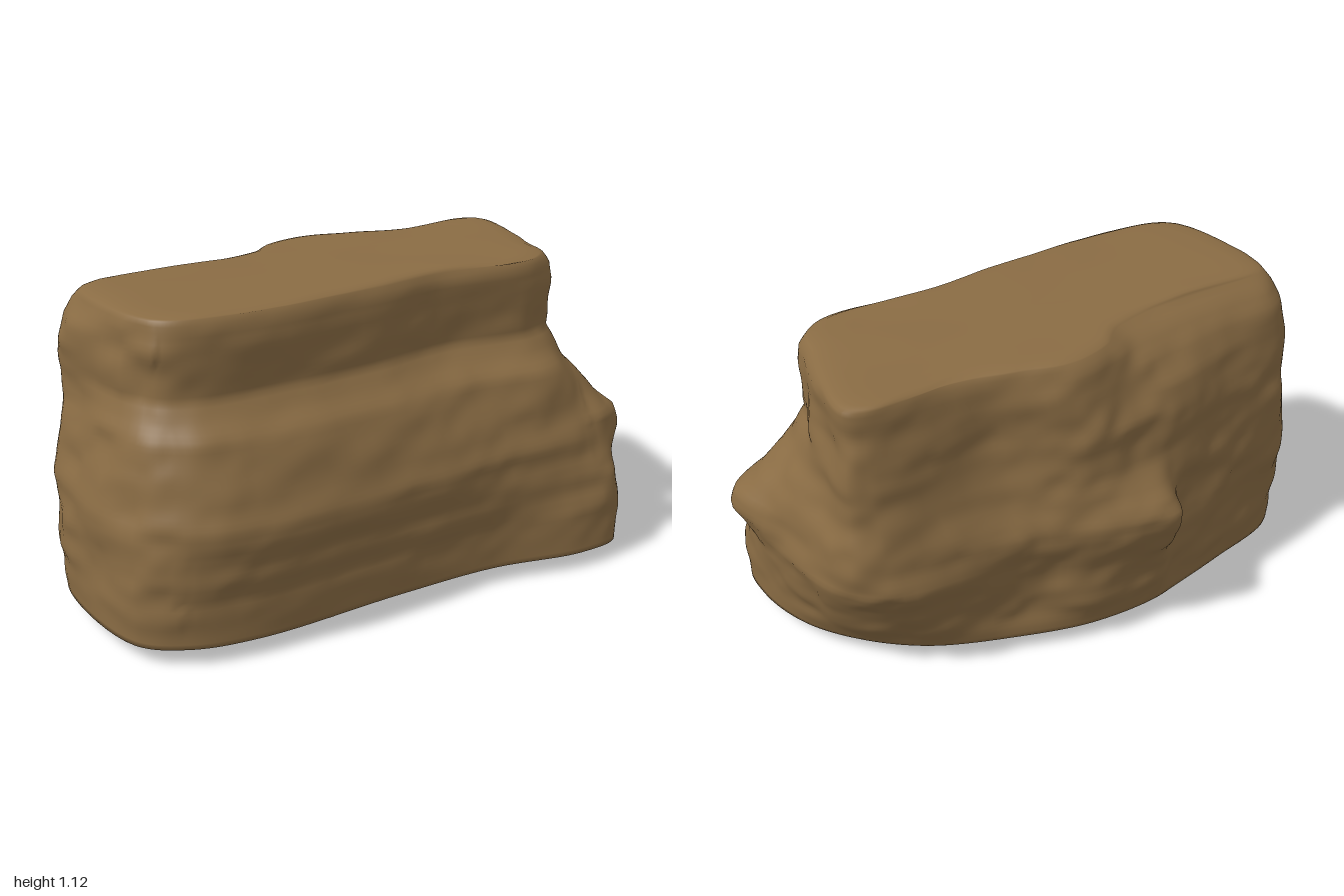
import * as THREE from 'three';

// Matching plan outlines (x, z), from the front left corner round to the left end
const BASE = [-.92,.36, -.78,.47, -.55,.51, 0,.47, .38,.46, .72,.51, .9,.47, .92,.3, .86,.08,
  .73,-.1, .54,-.25, .25,-.36, 0,-.42, -.25,-.42, -.38,-.39, -.6,-.33, -.88,-.24, -.96,-.14];
const BELLY = [-.92,.38, -.75,.52, -.54,.56, 0,.52, .38,.48, .7,.46, .88,.43, .99,.32, .92,0,
  .82,-.3, .7,-.37, .25,-.42, 0,-.51, -.26,-.565, -.32,-.44, -.6,-.36, -.88,-.28, -.97,-.18];
const TOP = [-.83,.28, -.76,.36, -.55,.385, -.05,.34, .25,.29, .6,.29, .71,.22, .74,.1, .78,-.05,
  .81,-.29, .75,-.33, .4,-.31, .1,-.385, -.08,-.34, -.2,-.25, -.5,-.19, -.83,-.15, -.87,-.05];

// Height, then the outline used on front, right end, back right corner, back,
// back left and left end: 0 = base, 1 = belly, 2 = top
const LEVELS = [
  [.065, 0, 0, 0, 0, 0, 0], [.13, .1, 0, .2, .1, .2, .2], [.22, .15, .05, .45, .25, .5, .4],
  [.29, .55, .1, .65, .4, .7, .6], [.34, .55, .15, .8, .5, .8, .8], [.41, .95, .6, 1, .75, 1, 1],
  [.47, 1, 1, 1.05, .95, 1, 1], [.53, 1.13, 1.05, 1.15, 1.02, 1, 1.1],
  [.6, 1.25, 1.3, 1.3, 1.3, 1, 1.2], [.68, 1.4, 1.55, 1.5, 1.5, 1.05, 1.4],
  [.73, 1.5, 1.7, 1.6, 1.55, 1.1, 1.5], [.78, 1.78, 1.8, 1.7, 1.6, 1.1, 1.5],
  [.84, 2, 1.95, 1.8, 1.6, 1.15, 1.4], [.93, 1.97, 1.92, 1.9, 1.72, 1.25, 1.4],
  [1.01, 1.93, 1.9, 1.9, 1.85, 1.45, 1.55], [1.07, 1.93, 1.92, 1.9, 1.9, 1.75, 1.85],
  [1.1, 2, 2, 2, 2, 2, 2],
];
const COLS = 168, ROWS = 60, CAP = 10;

// Smooth lattice noise in -1..1
function hash(x, y, z) {
  const s = Math.sin(x * 127.1 + y * 311.7 + z * 74.7) * 43758.5453;
  return (s - Math.floor(s)) * 2 - 1;
}
function noise(x, y, z) {
  const cell = [x, y, z].map(Math.floor);
  const [u, v, w] = [x, y, z].map((n, i) => THREE.MathUtils.smoothstep(n - cell[i], 0, 1));
  const h = (i, j, k) => hash(cell[0] + i, cell[1] + j, cell[2] + k);
  const { lerp } = THREE.MathUtils;
  const layer = k => lerp(lerp(h(0, 0, k), h(1, 0, k), u), lerp(h(0, 1, k), h(1, 1, k), u), v);
  return lerp(layer(0), layer(1), w);
}

// Which side a control point belongs to: the index of the first limit above it
const LIMITS = [6, 8, 11, 14, 17, 18];
const sideOf = i => LIMITS.findIndex(limit => i < limit);

// One smooth closed outline at a height
function outlineAt(y) {
  let n = 0;
  while (n < LEVELS.length - 2 && LEVELS[n + 1][0] < y) n++;
  const lo = LEVELS[n], hi = LEVELS[n + 1];
  const t = THREE.MathUtils.clamp((y - lo[0]) / (hi[0] - lo[0]), 0, 1);
  const points = [];
  for (let i = 0; i < 18; i++) {
    const s = sideOf(i) + 1;
    const mix = THREE.MathUtils.lerp(lo[s], hi[s], t);
    const [a, b, f] = mix < 1 ? [BASE, BELLY, mix] : [BELLY, TOP, mix - 1];
    points.push(new THREE.Vector3(
      THREE.MathUtils.lerp(a[2 * i], b[2 * i], f), y,
      THREE.MathUtils.lerp(a[2 * i + 1], b[2 * i + 1], f)));
  }
  const curve = new THREE.CatmullRomCurve3(points, true, 'centripetal');
  return Array.from({ length: COLS }, (_, c) => curve.getPoint(c / COLS));
}

// Roughen the wall: broad lumps, thin strata and small chips
function weather(p, y) {
  const fade = THREE.MathUtils.smoothstep(y, .06, .2) * (1 - .5 * THREE.MathUtils.smoothstep(y, 1, 1.1));
  const rough = p.z > .2 && Math.abs(p.x) < .8 ? .6 : 1;
  const lump = noise(p.x * 5 + 9, p.y * 6, p.z * 5) * .014;
  const strata = noise(p.x * 6, p.y * 12 + 4, p.z * 6 + 20) * .01;
  const chip = noise(p.x * 14 + 31, p.y * 16, p.z * 14) * .008;
  const out = new THREE.Vector3(p.x * .35, 0, p.z).normalize();
  return p.addScaledVector(out, (lump + strata + chip) * fade * rough);
}

function rockGeometry() {
  const rings = [];
  const wall = [];
  for (let r = 0; r <= ROWS; r++) {
    const y = THREE.MathUtils.lerp(.065, 1.1, r / ROWS);
    wall.push(outlineAt(y).map(p => weather(p, y)));
  }
  // Shallow bowl underneath
  for (let r = 0; r < CAP; r++) {
    const s = r / CAP;
    rings.push(wall[0].map(p => new THREE.Vector3(p.x * s, .004 + .061 * s ** 2.6, p.z * s)));
  }
  rings.push(...wall);
  // Nearly flat top with a softened rim
  for (const s of [.985, .96, .9, .8, .65, .5, .35, .2, 0]) {
    rings.push(wall[ROWS].map(p => {
      const x = p.x * s, z = p.z * s;
      const lift = .014 * Math.min(1, (1 - s) / .06);
      return new THREE.Vector3(x, 1.1 + lift + noise(x * 4, 3, z * 4) * .006, z);
    }));
  }

  const index = [];
  for (let r = 0; r < rings.length - 1; r++) {
    for (let c = 0; c < COLS; c++) {
      const a = r * COLS + c, b = r * COLS + (c + 1) % COLS;
      index.push(a, b, b + COLS, a, b + COLS, a + COLS);
    }
  }
  const geometry = new THREE.BufferGeometry().setFromPoints(rings.flat());
  geometry.setIndex(index);
  geometry.computeVertexNormals();
  return geometry;
}

export function createModel() {
  const group = new THREE.Group();
  group.name = 'rock';
  const boulder = new THREE.Mesh(rockGeometry(), new THREE.MeshStandardMaterial({ color: 0x8a6c44 }));
  boulder.name = 'boulder';
  group.add(boulder);
  return group;
}
